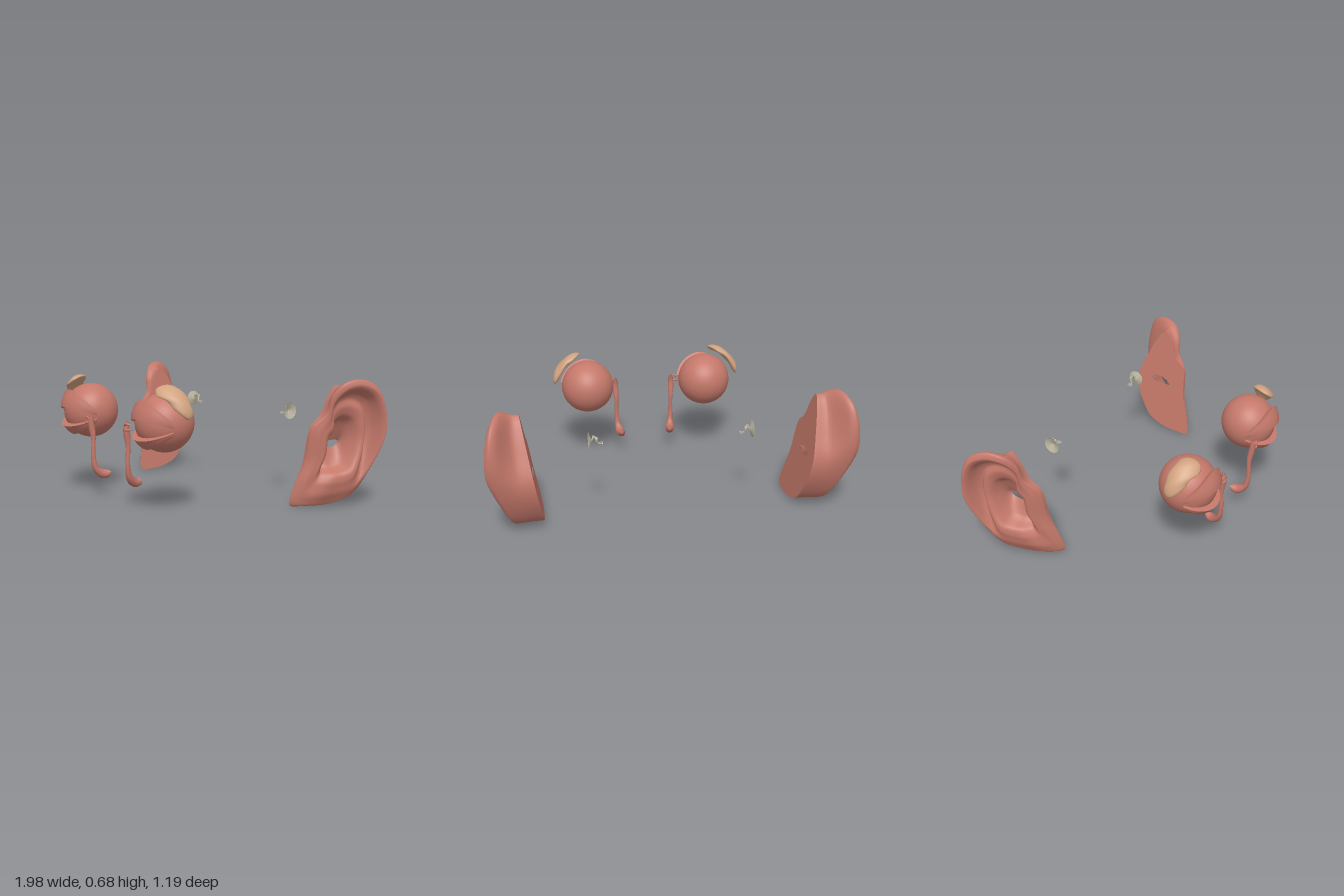
import * as THREE from 'three';
import { toCreasedNormals } from 'three/addons/utils/BufferGeometryUtils.js';

const material = (name, color, side = THREE.FrontSide) => {
  const m = new THREE.MeshStandardMaterial({ color, side });
  m.name = name;
  return m;
};
const V = (x, y, z) => new THREE.Vector3(x, y, z);
const { lerp, degToRad } = THREE.MathUtils;

// Skin over a list of closed rings that all have the same number of points
function loft(rings) {
  const n = rings[0].length, index = [];
  for (let j = 0; j < rings.length - 1; j++) {
    for (let i = 0; i < n; i++) {
      const a = j * n + i, b = j * n + (i + 1) % n;
      index.push(a, b, b + n, a, b + n, a + n);
    }
  }
  const g = new THREE.BufferGeometry().setFromPoints(rings.flat());
  g.setIndex(index);
  g.computeVertexNormals();
  return g;
}

// Close both ends of a loft with a point
function capped(rings) {
  const tip = r => {
    const c = r.reduce((s, p) => s.add(p), V(0, 0, 0)).divideScalar(r.length);
    return r.map(() => c.clone());
  };
  return loft([tip(rings[0]), ...rings, tip(rings[rings.length - 1])]);
}

// Round tube whose radius follows a list of values along its length
function taperedTube(points, radii, seg = 40, sides = 14) {
  const curve = new THREE.CatmullRomCurve3(points.map(p => V(...p)));
  const g = new THREE.TubeGeometry(curve, seg, 1, sides);
  const pos = g.attributes.position, v = V(0, 0, 0);
  for (let j = 0; j <= seg; j++) {
    const c = curve.getPointAt(j / seg);
    const f = j / seg * (radii.length - 1), k = Math.min(Math.floor(f), radii.length - 2);
    const r = lerp(radii[k], radii[k + 1], f - k);
    for (let i = 0; i <= sides; i++) {
      const id = j * (sides + 1) + i;
      v.fromBufferAttribute(pos, id).sub(c).multiplyScalar(r).add(c);
      pos.setXYZ(id, v.x, v.y, v.z);
    }
  }
  return g;
}

// Mirror a geometry in x and restore its winding
function mirrored(geometry) {
  const g = geometry.clone().scale(-1, 1, 1);
  const src = g.index ? Array.from(g.index.array) : Array.from({ length: g.attributes.position.count }, (_, i) => i);
  for (let i = 0; i < src.length; i += 3) [src[i + 1], src[i + 2]] = [src[i + 2], src[i + 1]];
  g.setIndex(src);
  return g;
}

// Outer ear: rim [x, y, z, helix strength, inner bulge], from lobe round the back to the face side
const RIM = [
  [0.70, 0.015, -0.16, 0, 0.07], [0.76, 0.005, -0.25, 0, 0.06], [0.81, 0.016, -0.36, 0, 0.04],
  [0.86, 0.063, -0.457, 0.1, 0.03], [0.905, 0.197, -0.536, 0.5, 0.02], [0.95, 0.37, -0.584, 0.95, 0],
  [0.957, 0.514, -0.587, 1, 0], [0.945, 0.63, -0.546, 1, 0], [0.92, 0.68, -0.457, 1, 0],
  [0.89, 0.663, -0.36, 0.9, 0], [0.85, 0.594, -0.308, 0.6, 0.02], [0.825, 0.498, -0.29, 0.2, 0.03],
  [0.78, 0.42, -0.225, 0, 0.05], [0.75, 0.244, -0.21, 0, 0.06], [0.715, 0.117, -0.17, 0, 0.07],
];
// Edge of the flat head side [y, z]
const BASE = [
  [0.01, -0.155], [0, -0.25], [0.015, -0.35], [0.065, -0.45], [0.2, -0.53], [0.33, -0.55], [0.47, -0.495],
  [0.58, -0.44], [0.63, -0.405], [0.645, -0.37], [0.59, -0.33], [0.49, -0.29], [0.42, -0.225], [0.244, -0.21], [0.117, -0.17],
];
// Front rings: [inset scale, helix height, plain height, bulge share]
const FOLDS = [
  [0.97, 1.1, 1, 0.15], [0.91, 1.17, 1, 0.35], [0.85, 1.06, 1, 0.55], [0.79, 0.74, 1, 0.7], [0.7, 0.6, 0.98, 0.85],
  [0.59, 0.7, 0.95, 1], [0.46, 0.6, 0.85, 0.9], [0.35, 0.28, 0.4, 0.35],
];
function earGeometries() {
  const cy = 0.322, cz = -0.39, N = 96;
  const headX = y => 0.69 + 0.165 * y;
  const at = (y, z, height) => V(headX(y) + height, y, z);
  const H = p => p[0] - headX(p[1]);
  const base = BASE.map(([y, z]) => at(y, z, 0));
  const hole = height => RIM.map(p => at(cy + (p[1] - cy) * 0.065, cz + (p[2] - cz) * 0.32, height));
  const back = [[0, 0], [0.08, 0.4], [0.85, 0.8]].map(([t, h]) =>
    RIM.map((p, k) => at(lerp(BASE[k][0], p[1], t), lerp(BASE[k][1], p[2], t), H(p) * h)));
  const rim = RIM.map(p => V(p[0], p[1], p[2]));
  const front = FOLDS.map(([s, d, f, g]) => RIM.map(p =>
    at(lerp(cy, p[1], s), lerp(cz, p[2], s), lerp(H(p) * f + p[4] * g, H(p) * d, p[3]))));
  const smooth = ring => {
    const c = new THREE.CatmullRomCurve3(ring, true, 'catmullrom', 0.5);
    return Array.from({ length: N }, (_, i) => c.getPoint(i / N));
  };
  const rings = [...back, rim, ...front, hole(0.004)].map(smooth);
  const columns = Array.from({ length: N }, (_, i) =>
    new THREE.CatmullRomCurve3(rings.map(r => r[i]), false, 'catmullrom', 0.4).getPoints(60));
  const skin = Array.from({ length: 61 }, (_, j) => columns.map(c => c[j]));
  return { outerEar: loft(skin), earHeadSide: loft([smooth(hole(0)), smooth(base)]) };
}

// Eyelid: curved shell between two edges given as [corner, middle] elevations in degrees
const EYE = V(0.36, 0.465, 0.425);
function eyelid(low, high) {
  const rings = [];
  for (let j = 0; j <= 32; j++) {
    const u = j / 16 - 1, c = Math.cos(u * Math.PI / 2), phi = degToRad(70 * u);
    const e0 = lerp(low[0], low[1], c), e1 = lerp(high[0], high[1], c);
    const out = 0.168 + 0.014 * c;
    const section = [[e1, out + 0.006 * c], [lerp(e0, e1, 0.66), out], [lerp(e0, e1, 0.33), out], [e0, out - 0.004],
      [e0, 0.153], [lerp(e0, e1, 0.33), 0.153], [lerp(e0, e1, 0.66), 0.153], [e1, 0.154]];
    rings.push(section.map(([e, r]) => {
      const a = degToRad(e);
      return V(r * Math.cos(a) * Math.sin(phi), r * Math.sin(a), r * Math.cos(a) * Math.cos(phi)).add(EYE);
    }));
  }
  return toCreasedNormals(capped(rings), 0.8);
}

// Tear gland: lumpy lens wrapped over the upper outer side of the eye
function tearGland() {
  const rings = [];
  for (let j = 0; j <= 28; j++) {
    const t = j / 28, theta = degToRad(lerp(79, 9, t));
    const end = Math.pow(Math.max(0.02, 1 - Math.pow(2 * t - 1, 4)), 0.5);
    const w = lerp(0.066, 0.038, t * t) * end, mid = lerp(0.056, -0.008, t);
    rings.push(Array.from({ length: 24 }, (_, i) => {
      const a = i / 24 * Math.PI * 2;
      const lump = 1 + 0.06 * Math.sin(a * 3 + t * 14);
      const z = mid - w * Math.cos(a) * lump;
      const r = Math.sqrt(0.201 ** 2 - z * z) + 0.02 * end * Math.sin(a) * lump;
      return V(r * Math.cos(theta), r * Math.sin(theta), z).add(EYE);
    }));
  }
  return capped(rings);
}

export function createModel() {
  const flesh = material('flesh', 0xc4786a);
  const gland = material('gland tan', 0xd0a27f);
  const bone = material('pale bone', 0xbdb8a3, THREE.DoubleSide);
  const parts = [];
  const add = (name, geometry, mat) => parts.push([name, geometry, mat]);

  // Ears
  for (const [name, g] of Object.entries(earGeometries())) add(name, g, flesh);

  // Eyes
  add('eyeball', new THREE.SphereGeometry(0.155, 48, 32).translate(EYE.x, EYE.y, EYE.z), flesh);
  add('upperEyelid', eyelid([-5, 9], [4, 42]), flesh);
  add('lowerEyelid', eyelid([-19, -47], [-12, -26]), flesh);
  add('tearGland', tearGland(), gland);

  // Tear duct with its two small feeder canals
  add('tearDuct', taperedTube(
    [[0.175, 0.468, 0.535], [0.176, 0.42, 0.54], [0.173, 0.33, 0.528], [0.172, 0.22, 0.53],
      [0.167, 0.155, 0.515], [0.158, 0.125, 0.475], [0.15, 0.13, 0.425]],
    [0.001, 0.012, 0.016, 0.017, 0.018, 0.017, 0.015, 0.013, 0.012, 0.012, 0.012, 0.013, 0.013, 0.014,
      0.015, 0.017, 0.02, 0.024, 0.026, 0.026, 0.021, 0.001], 84), flesh);
  for (const s of [-1, 1]) {
    add(s < 0 ? 'lowerTearCanal' : 'upperTearCanal', taperedTube(
      [[0.178, 0.433, 0.545], [0.19, 0.433 + s * 0.016, 0.555], [0.208, 0.433 + s * 0.015, 0.55], [0.222, 0.433 + s * 0.01, 0.53]],
      [0.006, 0.006, 0.006, 0.001], 16, 8), flesh);
  }

  // Eardrum: shallow cone pointing inward, and the chain of small bones behind it
  const place = g => g.translate(0.442, 0.475, -0.39);
  const drum = new THREE.LatheGeometry(
    [[0.001, 0.016], [0.016, 0.01], [0.033, 0.003], [0.044, 0], [0.046, -0.002]].map(p => new THREE.Vector2(...p)), 32);
  add('eardrum', place(drum.rotateZ(Math.PI / 2)), bone);
  add('hammerBone', place(taperedTube(
    [[-0.014, 0, 0], [-0.019, 0.01, 0.003], [-0.026, 0.02, 0.005], [-0.032, 0.025, 0.003]],
    [0.002, 0.004, 0.004, 0.01, 0.001], 20, 10)), bone);
  add('anvilBone', place(taperedTube(
    [[-0.03, 0.024, -0.004], [-0.037, 0.016, -0.013], [-0.039, 0, -0.012], [-0.043, -0.014, -0.004]],
    [0.001, 0.01, 0.006, 0.004, 0.003], 20, 10)), bone);
  add('stirrupArch', place(new THREE.TorusGeometry(0.012, 0.0025, 8, 20, Math.PI)
    .rotateX(Math.PI / 2).rotateY(Math.PI / 2).translate(-0.067, -0.016, -0.002)), bone);
  add('stirrupArm', place(taperedTube(
    [[-0.042, -0.014, -0.004], [-0.049, -0.015, -0.003], [-0.056, -0.016, -0.002]], [0.004, 0.003], 6, 8)), bone);
  add('stirrupPlate', place(new THREE.CylinderGeometry(0.012, 0.012, 0.004, 20)
    .rotateZ(Math.PI / 2).scale(1, 0.6, 1.3).translate(-0.069, -0.016, -0.002)), bone);

  const root = new THREE.Group();
  root.name = 'senseOrgans';
  for (const side of ['left', 'right']) {
    const half = new THREE.Group();
    half.name = side + 'Side';
    for (const [name, g, mat] of parts) {
      const mesh = new THREE.Mesh(side === 'left' ? g : mirrored(g), mat);
      mesh.name = side + name[0].toUpperCase() + name.slice(1);
      half.add(mesh);
    }
    root.add(half);
  }
  return root;
}
